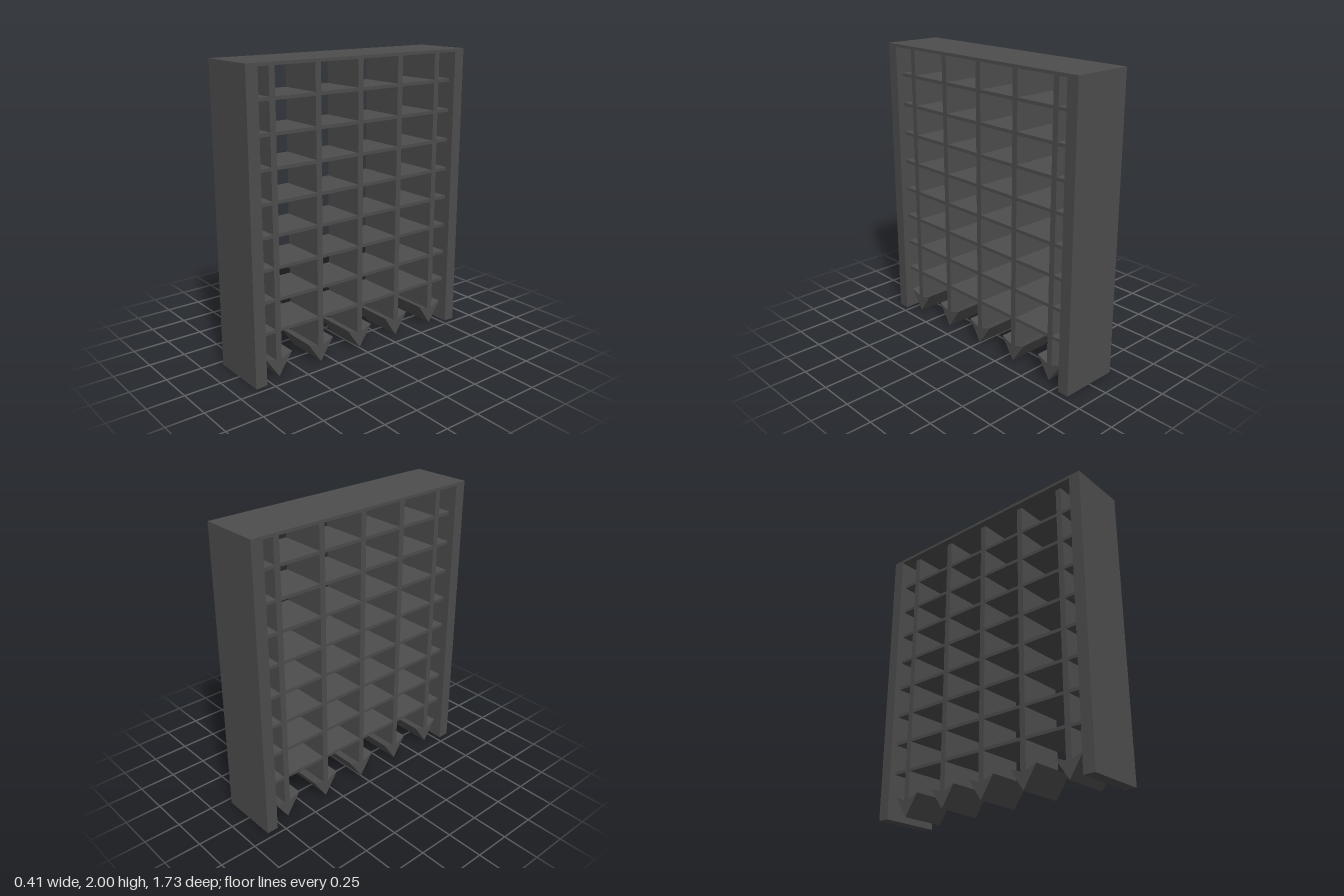
import * as THREE from 'three';

export function createModel() {
  const group = new THREE.Group();
  const iron = new THREE.MeshStandardMaterial({ color: 0x4d4d4d });
  iron.name = 'dark iron';

  const frameDepth = 0.414, gridDepth = 0.32;
  const halfWidth = 0.865, postWidth = 0.08, beamHeight = 0.02;
  const inner = halfWidth - postWidth;

  const add = (name, geometry, y = 0, z = 0) => {
    const mesh = new THREE.Mesh(geometry, iron);
    mesh.name = name;
    mesh.position.set(0, y, z);
    group.add(mesh);
  };

  // Outer frame: two posts and a thin top beam
  for (const side of [1, -1]) {
    add(side > 0 ? 'frontPost' : 'backPost',
      new THREE.BoxGeometry(frameDepth, 2, postWidth), 1, side * (halfWidth - postWidth / 2));
  }
  add('topBeam', new THREE.BoxGeometry(frameDepth, beamHeight, inner * 2), 2 - beamHeight / 2);

  // Horizontal bars between the posts
  const bar = new THREE.BoxGeometry(gridDepth, 0.022, inner * 2);
  for (let i = 0; i < 8; i++) add(`crossBar${i + 1}`, bar, 0.322 + i * 0.209);

  // Barbed arrowhead profile, extruded through the depth of the grid
  const head = new THREE.Shape([
    [0, 0], [0.1, 0.148], [0.02, 0.118], [-0.02, 0.118], [-0.1, 0.148],
  ].map(([x, y]) => new THREE.Vector2(x, y)));
  const spike = new THREE.ExtrudeGeometry(head, { depth: gridDepth, bevelEnabled: false });
  spike.translate(0, 0, -gridDepth / 2).rotateY(Math.PI / 2);

  // Vertical bars, each ending in a spike
  const rodBottom = 0.118, rodTop = 2 - beamHeight;
  const rod = new THREE.BoxGeometry(gridDepth, rodTop - rodBottom, 0.041);
  for (let i = -2; i <= 2; i++) {
    add(`verticalBar${i + 3}`, rod, (rodTop + rodBottom) / 2, i * 0.331);
    add(`spike${i + 3}`, spike, 0.004, i * 0.331);
  }
  return group;
}
